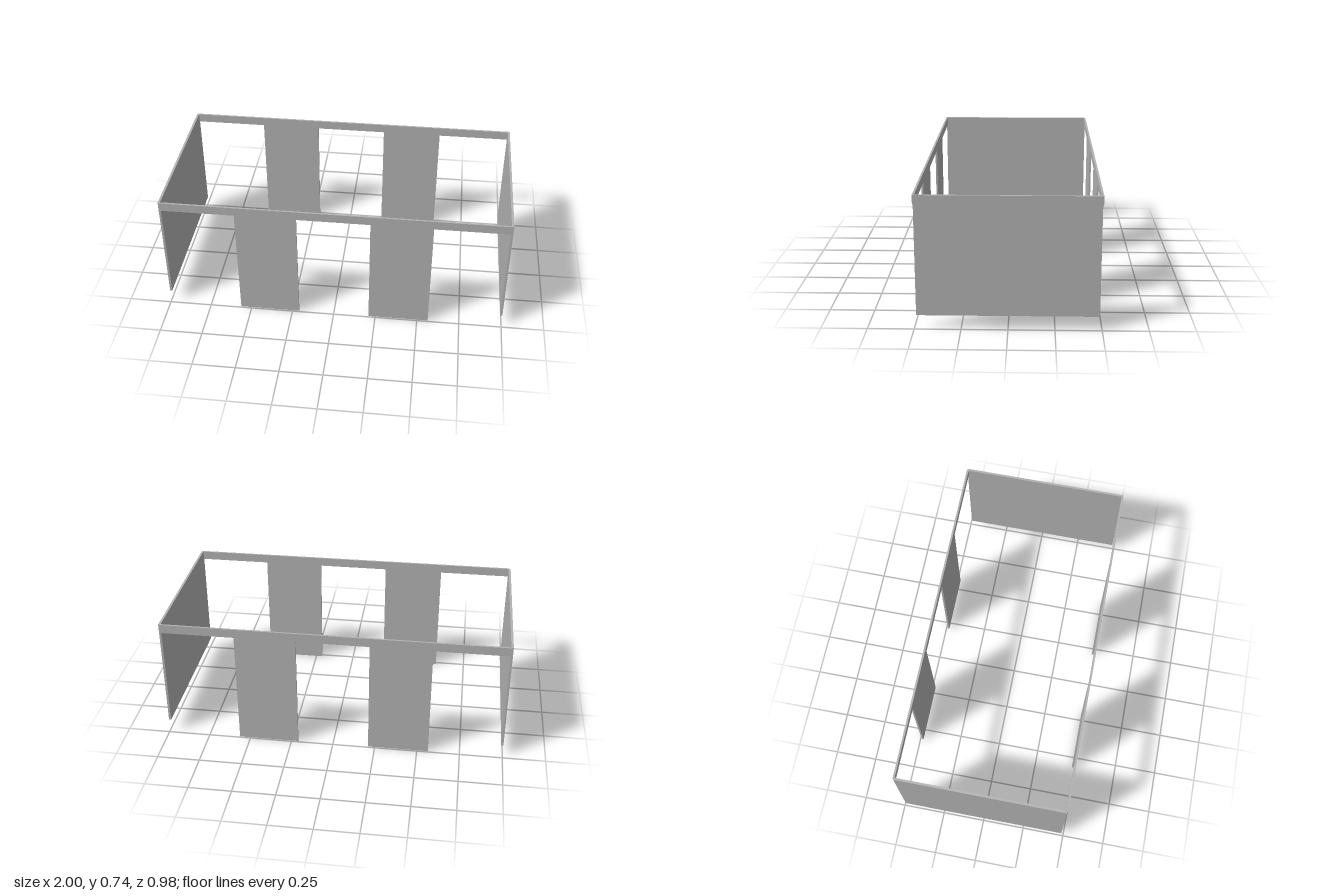
import * as THREE from 'three';

export function createModel() {
  const model = new THREE.Group();
  model.name = 'panelFrame';
  const grey = new THREE.MeshStandardMaterial({ color: 0xb2b2b2 });
  grey.name = 'grey';

  const TOP = 0.742;
  const RAIL_BOTTOM = 0.69;
  const THICK = 0.011;

  // Long side: a top rail with two broad legs, cut from one sheet
  const outline = new THREE.Shape([
    [-0.993, TOP], [-0.993, RAIL_BOTTOM],
    [-0.565, RAIL_BOTTOM], [-0.565, 0], [-0.21, 0], [-0.21, RAIL_BOTTOM],
    [0.21, RAIL_BOTTOM], [0.21, 0], [0.565, 0], [0.565, RAIL_BOTTOM],
    [0.993, RAIL_BOTTOM], [0.993, TOP],
  ].map(([x, y]) => new THREE.Vector2(x, y)));
  const sideGeometry = new THREE.ExtrudeGeometry(outline, { depth: THICK, bevelEnabled: false });
  sideGeometry.translate(0, 0, -THICK / 2);

  for (const [name, sign] of [['frontRailAndLegs', 1], ['backRailAndLegs', -1]]) {
    const side = new THREE.Mesh(sideGeometry, grey);
    side.name = name;
    side.position.z = sign * (0.492 - THICK / 2);
    model.add(side);
  }

  // End panels, raised clear of the ground
  const endBottom = 0.08;
  const endGeometry = new THREE.BoxGeometry(0.013, TOP - endBottom, 0.974);
  for (const [name, sign] of [['leftEndPanel', 1], ['rightEndPanel', -1]]) {
    const panel = new THREE.Mesh(endGeometry, grey);
    panel.name = name;
    panel.position.set(sign * 0.9935, (TOP + endBottom) / 2, 0);
    model.add(panel);
  }

  return model;
}
